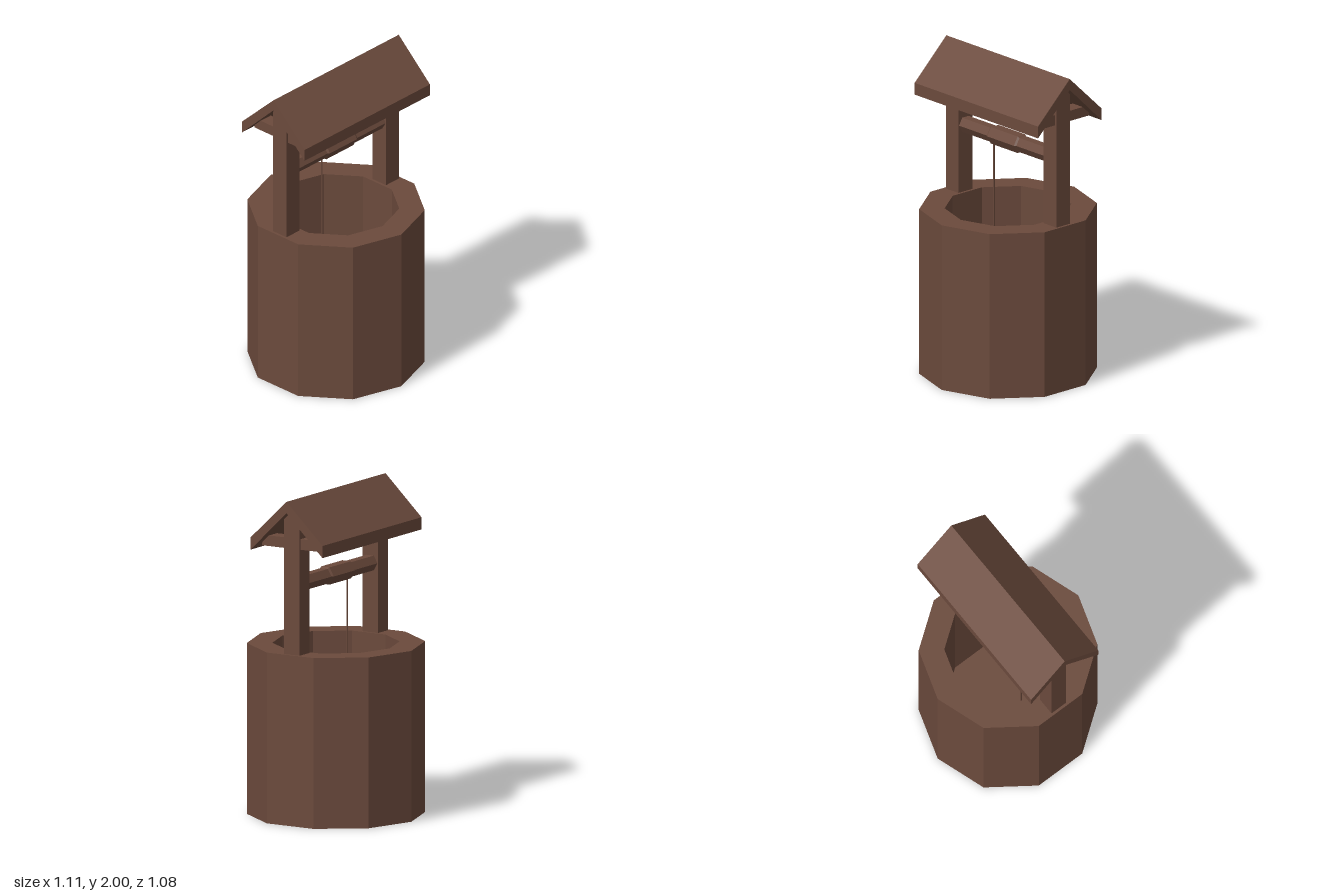
import * as THREE from 'three';

const wood = new THREE.MeshStandardMaterial({ color: 0x6b4a3c });
wood.name = 'brown wood';

// Faceted mesh: every face gets its own flat normal
function part(name, geometry, parent) {
  const flat = geometry.index ? geometry.toNonIndexed() : geometry;
  flat.computeVertexNormals();
  const mesh = new THREE.Mesh(flat, wood);
  mesh.name = name;
  parent.add(mesh);
  return mesh;
}

const lathe = (points, sides) =>
  new THREE.LatheGeometry(points.map(([r, y]) => new THREE.Vector2(r, y)), sides);

// Extrudes a (z, y) outline along x, centred on x = 0
function alongX(points, width) {
  const shape = new THREE.Shape(points.map(([z, y]) => new THREE.Vector2(z, y)));
  return new THREE.ExtrudeGeometry(shape, { depth: width, bevelEnabled: false })
    .translate(0, 0, -width / 2)
    .rotateY(Math.PI / 2);
}

export function createModel() {
  const well = new THREE.Group();
  well.name = 'well';

  // Ten-sided hollow wall with a closed base
  part('wellWall', lathe([
    [0, 0], [0.54, 0], [0.54, 1.05], [0.385, 1.05], [0.385, 0.1], [0, 0.1],
  ], 10), well);

  // Gabled roof made of two slopes of even thickness
  part('roof', alongX([
    [-0.258, 1.68], [0, 1.93], [0.258, 1.68], [0.258, 1.755], [0, 2], [-0.258, 1.755],
  ], 1.11), well);

  // Pointed posts, each with a cross beam under the roof
  for (const side of [-1, 1]) {
    const frame = new THREE.Group();
    frame.name = side > 0 ? 'leftFrame' : 'rightFrame';
    frame.position.x = side * 0.44;
    well.add(frame);
    part('post', alongX([
      [-0.056, 1.04], [0.056, 1.04], [0.056, 1.88], [0, 1.935], [-0.056, 1.88],
    ], 0.114), frame);
    part('crossBeam', alongX([
      [-0.22, 1.7], [0.22, 1.7], [0.22, 1.718], [0.172, 1.765], [-0.172, 1.765], [-0.22, 1.718],
    ], 0.09), frame);
  }

  // Six-sided axle with a thicker drum
  const winch = new THREE.Group();
  winch.name = 'winch';
  winch.position.y = 1.478;
  well.add(winch);
  part('axle', new THREE.CylinderGeometry(0.052, 0.052, 0.8, 6).rotateZ(Math.PI / 2), winch);
  part('drum', lathe([
    [0.052, -0.132], [0.061, -0.12], [0.061, 0.12], [0.052, 0.132],
  ], 6).rotateZ(Math.PI / 2), winch);

  // Rope hanging into the shaft
  const rope = part('rope', new THREE.CylinderGeometry(0.006, 0.006, 1.08, 6), well);
  rope.position.set(-0.126, 0.93, 0);

  return well;
}
